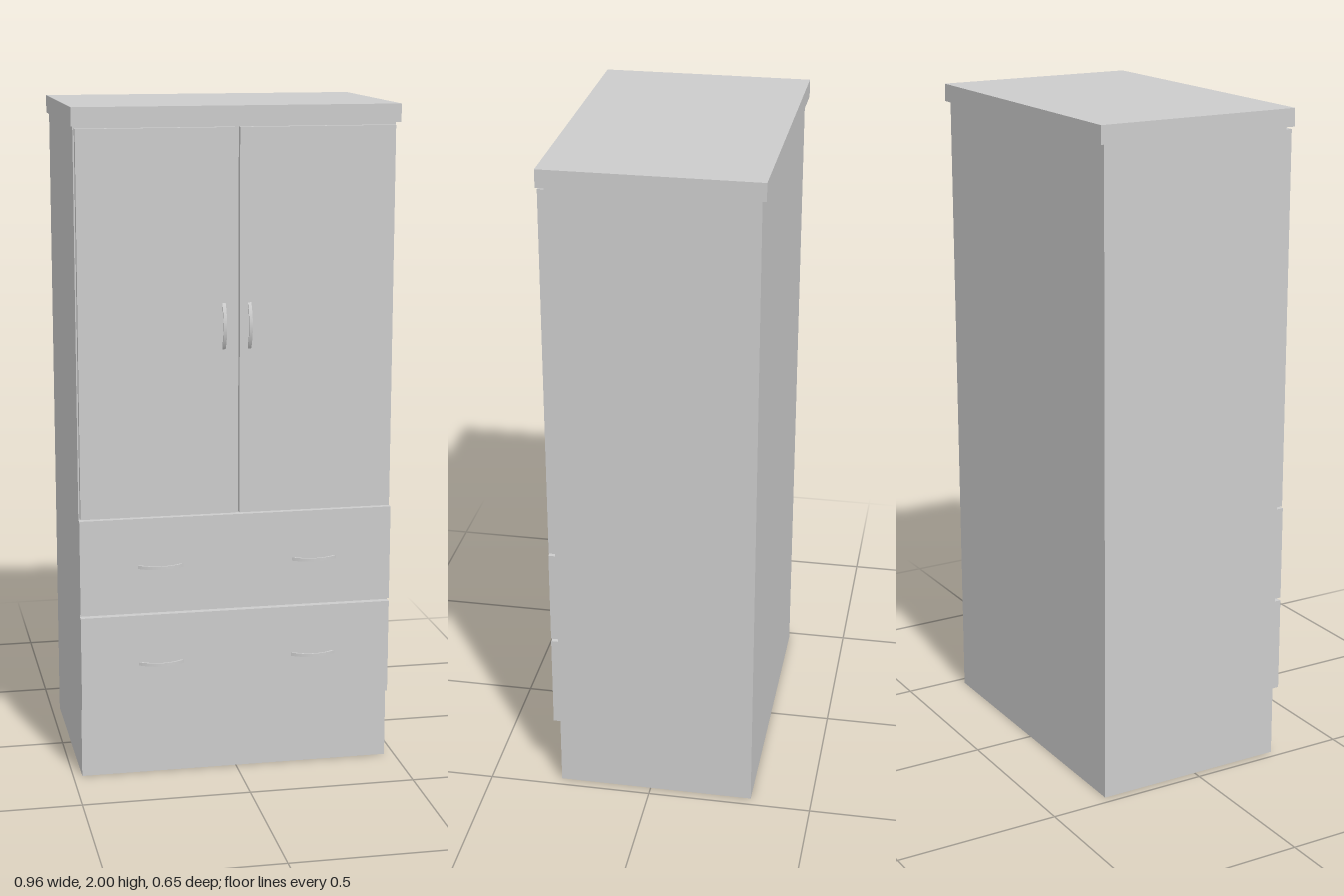
import * as THREE from 'three';

const grey = new THREE.MeshStandardMaterial({ color: 0xcccccc });
const FACE = 0.303; // front plane of doors and drawers

// Box given by its limits on each axis
function block(name, [x0, x1], [y0, y1], [z0, z1]) {
  const mesh = new THREE.Mesh(new THREE.BoxGeometry(x1 - x0, y1 - y0, z1 - z0), grey);
  mesh.position.set((x0 + x1) / 2, (y0 + y1) / 2, (z0 + z1) / 2);
  mesh.name = name;
  return mesh;
}

// Bow handle: crescent between an outer and an inner arc, lying flat, bulging to +z
function handleGeometry() {
  const arc = (half, depth) => {
    const r = (half * half + depth * depth) / (2 * depth);
    const a = Math.asin(half / r);
    return { cy: depth - r, r, a0: Math.PI / 2 + a, a1: Math.PI / 2 - a };
  };
  const outer = arc(0.068, 0.023), inner = arc(0.057, 0.018);
  const shape = new THREE.Shape();
  shape.absarc(0, outer.cy, outer.r, outer.a0, outer.a1, true);
  shape.absarc(0, inner.cy, inner.r, inner.a1, inner.a0, false);
  shape.closePath();
  const thickness = 0.01;
  return new THREE.ExtrudeGeometry(shape, { depth: thickness, bevelEnabled: false, curveSegments: 16 })
    .translate(0, 0, -thickness / 2)
    .rotateX(Math.PI / 2);
}

export function createModel() {
  const group = new THREE.Group();
  group.name = 'wardrobe';

  // Carcass and overhanging top
  group.add(block('body', [-0.473, 0.47], [0, 1.947], [-0.314, 0.282]));
  group.add(block('top', [-0.48, 0.48], [1.947, 2], [-0.327, 0.305]));

  const geometry = handleGeometry();
  const addHandle = (name, x, y, upright) => {
    const handle = new THREE.Mesh(geometry, grey);
    handle.name = name;
    handle.position.set(x, y, FACE);
    if (upright) handle.rotation.z = Math.PI / 2;
    group.add(handle);
  };

  // Pair of doors with upright handles near the middle
  group.add(block('rightDoor', [-0.469, -0.009], [0.805, 1.939], [0.282, FACE]));
  group.add(block('leftDoor', [0.005, 0.465], [0.805, 1.939], [0.282, FACE]));
  addHandle('rightDoorHandle', -0.042, 1.366, true);
  addHandle('leftDoorHandle', 0.034, 1.366, true);

  // Two wide drawers, two handles each
  for (const [name, y0, y1, handleY] of [['upperDrawer', 0.512, 0.8, 0.652], ['lowerDrawer', 0.215, 0.503, 0.352]]) {
    group.add(block(name, [-0.473, 0.47], [y0, y1], [0.282, FACE]));
    for (const [side, x] of [['Right', -0.232], ['Left', 0.234]]) addHandle(name + side + 'Handle', x, handleY, false);
  }
  return group;
}
